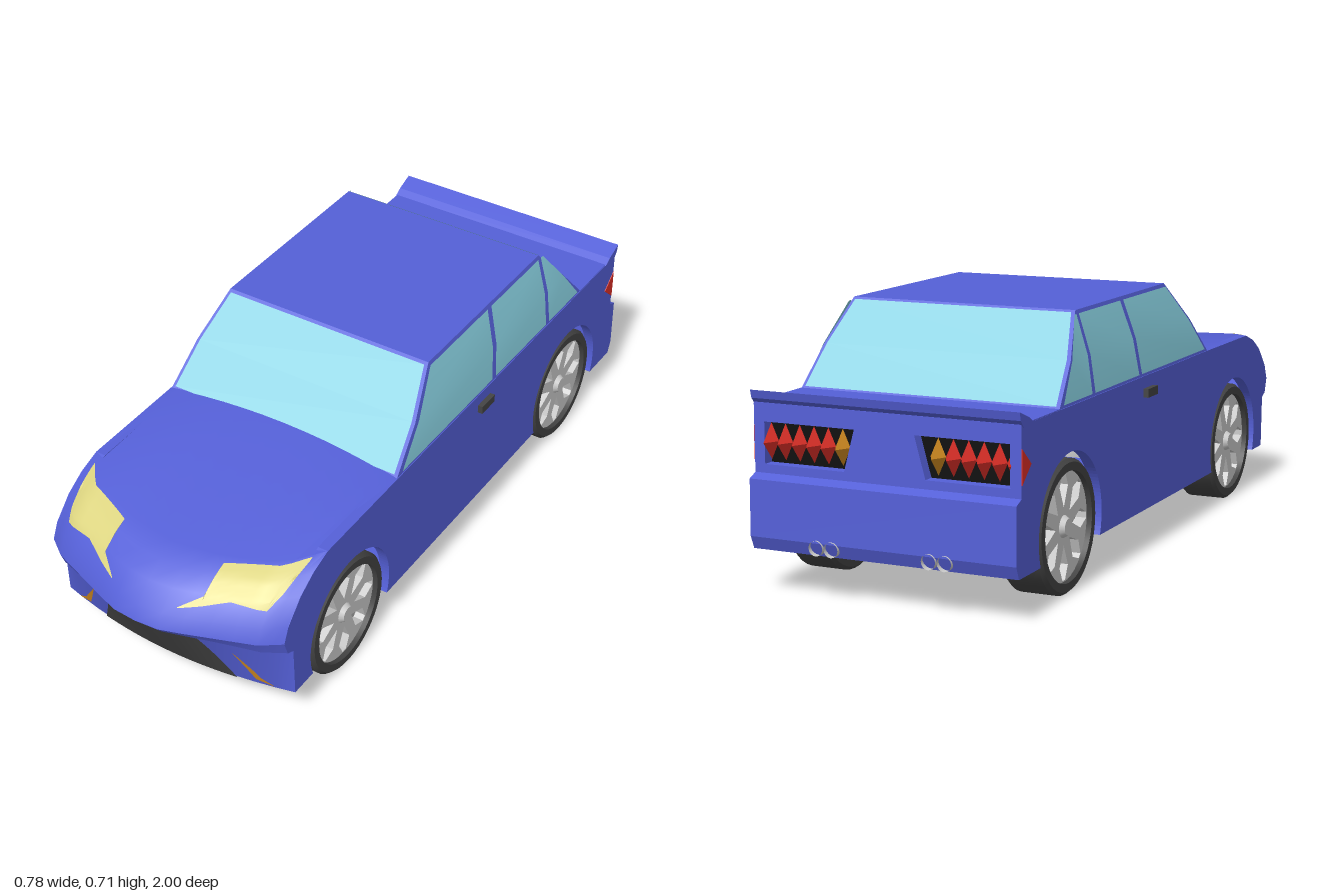
import * as THREE from 'three';
import { toCreasedNormals } from 'three/addons/utils/BufferGeometryUtils.js';

const mat = (color) => new THREE.MeshStandardMaterial({ color, side: THREE.DoubleSide });
const paint = mat(0x5560d8), glass = mat(0x88d0e0), dark = mat(0x444444), black = mat(0x0c0c0c);
const grey = mat(0xcccccc), lamp = mat(0xdcd480), amber = mat(0xd08a20), red = mat(0xe03028);
const lerp = THREE.MathUtils.lerp;

// Piecewise linear lookup in a list of [input, output] pairs
function table(pairs, x) {
  for (let i = 1; i < pairs.length; i++) {
    const [a, p] = pairs[i - 1], [b, q] = pairs[i];
    if (x <= b) return lerp(p, q, Math.max(0, (x - a) / (b - a)));
  }
  return pairs[pairs.length - 1][1];
}

// Surface whose points follow a rule of u and v, both 0..1
function surface(fn, nu, nv) {
  const g = new THREE.PlaneGeometry(1, 1, nu, nv), p = g.attributes.position;
  for (let i = 0; i < p.count; i++) p.setXYZ(i, ...fn(p.getX(i) + 0.5, p.getY(i) + 0.5));
  return toCreasedNormals(g, 0.5);
}

const polygon = (pts) => new THREE.Shape(pts.map(([a, b]) => new THREE.Vector2(a, b)));

// Extrude a (z, y) outline along x, from the given outer x inwards to -x
function extrudeX(shape, x, width) {
  const g = new THREE.ExtrudeGeometry(shape, { depth: width, bevelEnabled: false, curveSegments: 32 });
  return g.rotateY(-Math.PI / 2).translate(x, 0, 0);
}

// Cabin: half width, windscreen z and rear window z at a given height
const Y0 = 0.49, Y1 = 0.715;
const halfW = (y) => table([[Y0, 0.374], [0.6, 0.36], [Y1, 0.326]], y);
const screenZ = (y) => table([[Y0, 0.32], [Y1, 0.085]], y);
const backZ = (y) => table([[Y0, -0.74], [Y1, -0.535]], y);
const rowY = (v, a, b) => (v < 0.25 ? a : v < 0.75 ? 0.6 : b);

// Nose profile in (z, y) at distance x from the centre line
function noseProfile(x) {
  x = Math.abs(x);
  const q = (x / 0.375) ** 2;
  const n = table([[0, 1], [0.07, 0.995], [0.13, 0.975], [0.32, 0.905], [0.375, 0.865]], x);
  const h = table([[0, 0.82], [0.15, 0.8], [0.3, 0.75], [0.375, 0.66]], x);
  const hy = 0.465 + 0.025 * q, base = 0.512 - 0.02 * q, lo = 0.295 - 0.025 * q;
  return [
    [screenZ(base), base], [h, hy],
    [lerp(h, n, 0.33), lerp(hy, 0.325, 0.14)], [lerp(h, n, 0.62), lerp(hy, 0.325, 0.36)],
    [lerp(h, n, 0.9), lerp(hy, 0.325, 0.72)], [n, 0.325],
    [n - 0.015, lo + 0.012], [n - 0.04, lo], [0.87 - 0.05 * q, 0.115], [0.75, 0.115],
  ];
}
const noseZ = (x, y) => table(noseProfile(x).slice(1, 9).reverse().map(([z, h]) => [h, z]), y);

// Patch lying on the nose, described by columns [x, low y, high y]
function nosePatch(cols, lift) {
  const nu = (cols.length - 1) * 4;
  return surface((u, v) => {
    const s = u * (cols.length - 1), i = Math.min(Math.floor(s + 1e-6), cols.length - 2), t = s - i;
    const [x, a, b] = cols[i].map((c, k) => lerp(c, cols[i + 1][k], t));
    const y = lerp(a, b, v);
    return [x, y, noseZ(x, y) + lift];
  }, nu, 8);
}

function makeWheel() {
  const wheel = new THREE.Group();
  // Tyre ring, turned so its axle runs along x
  const ring = [[0.146, -0.06], [0.168, -0.06], [0.177, -0.05], [0.177, 0.05], [0.168, 0.06], [0.146, 0.06], [0.146, -0.06]];
  const tyre = new THREE.LatheGeometry(ring.map(([r, y]) => new THREE.Vector2(r, y)), 40);
  const t = new THREE.Mesh(toCreasedNormals(tyre.rotateZ(-Math.PI / 2), 0.6), dark);
  t.name = 'tyre';
  // Rim with eight pointed openings between the spokes
  const disc = new THREE.Shape().absarc(0, 0, 0.148, 0, Math.PI * 2);
  for (let i = 0; i < 8; i++) {
    const a = (i * Math.PI) / 4;
    const at = (r, w) => new THREE.Vector2(r * Math.cos(a) - w * Math.sin(a), r * Math.sin(a) + w * Math.cos(a));
    disc.holes.push(new THREE.Path([at(0.05, 0), at(0.105, 0.026), at(0.142, 0.008), at(0.142, -0.008), at(0.105, -0.026)]));
  }
  const rim = new THREE.Mesh(extrudeX(disc, 0.045, 0.03), grey);
  rim.name = 'rim';
  const hub = new THREE.Mesh(new THREE.CylinderGeometry(0.022, 0.034, 0.02, 16).rotateZ(-Math.PI / 2), grey);
  hub.name = 'hub';
  hub.position.x = 0.048;
  wheel.add(t, rim, hub);
  return wheel;
}

export function createModel() {
  const car = new THREE.Group();
  const add = (name, geo, m, x = 0, y = 0, z = 0) => {
    const mesh = new THREE.Mesh(geo, m);
    mesh.name = name;
    mesh.position.set(x, y, z);
    car.add(mesh);
    return mesh;
  };
  const box = (name, w, h, d, m, x, y, z) => add(name, new THREE.BoxGeometry(w, h, d), m, x, y, z);

  // Hood, nose and front bumper as one lofted skin
  const half = [0, 0.07, 0.13, 0.2, 0.26, 0.32, 0.35, 0.375];
  const xs = [...half.slice(1).reverse().map((x) => -x), ...half];
  add('hoodAndNose', surface((u, v) => {
    const x = xs[Math.round(u * (xs.length - 1))];
    const [z, y] = noseProfile(x)[Math.round((1 - v) * 9)];
    return [x, y, z];
  }, xs.length - 1, 9), paint);
  add('grille', surface((u, v) => {
    const y = lerp(0.118, 0.288, v), x = lerp(-1, 1, u) * lerp(0.218, 0.142, v);
    return [x, y, noseZ(x, y) + 0.005];
  }, 12, 4), dark);

  // Body sides with round wheel arches
  const side = polygon([
    ...noseProfile(0.375).slice(0, 9), [0.746, 0.115],
  ]);
  side.absarc(0.55, 0.178, 0.196, -0.327, Math.PI + 0.327, false);
  side.absarc(-0.67, 0.178, 0.196, -0.327, Math.PI + 0.327, false);
  for (const [z, y] of [[-0.98, 0.115], [-0.995, 0.15], [-0.993, 0.3], [-0.965, 0.312], [-0.965, 0.492]]) side.lineTo(z, y);
  for (const s of [1, -1]) add(s > 0 ? 'leftSide' : 'rightSide', extrudeX(side, s > 0 ? 0.376 : -0.346, 0.03), paint);
  box('floor', 0.74, 0.01, 0.82, paint, 0, 0.12, -0.06);

  // Trunk lid, spoiler lip and rear bumper
  box('trunkLid', 0.75, 0.012, 0.23, paint, 0, 0.488, -0.85);
  add('spoiler', extrudeX(polygon([[-0.9, 0.492], [-0.925, 0.507], [-0.978, 0.527], [-0.972, 0.505], [-0.955, 0.485]]), 0.378, 0.756), paint);
  add('rearBumper', extrudeX(polygon([[-0.94, 0.312], [-0.965, 0.312], [-0.993, 0.3], [-0.995, 0.15], [-0.98, 0.115], [-0.875, 0.115], [-0.875, 0.125], [-0.94, 0.13]]), 0.375, 0.75), paint);

  // Rear panel with openings for the tail lights
  const panel = polygon([[-0.375, 0.3], [0.375, 0.3], [0.375, 0.49], [-0.375, 0.49]]);
  for (const s of [1, -1]) {
    panel.holes.push(polygon([[s * 0.085, 0.445], [s * 0.36, 0.445], [s * 0.37, 0.39], [s * 0.36, 0.335], [s * 0.115, 0.335]]));
  }
  add('rearPanel', new THREE.ExtrudeGeometry(panel, { depth: 0.035, bevelEnabled: false }), paint, 0, 0, -0.965);

  // Cabin shell
  add('roof', surface((u, v) => [lerp(-1, 1, u) * halfW(Y1), Y1, lerp(backZ(Y1), screenZ(Y1), v)], 1, 1), paint);
  for (const [name, zAt, s] of [['windscreen', screenZ, 1], ['rearWindow', backZ, -1]]) {
    const pane = (a, b, inset, lift) => surface((u, v) => {
      const y = rowY(v, a, b);
      return [lerp(-1, 1, u) * (halfW(y) - inset), y + lift, zAt(y) + s * lift];
    }, 1, 2);
    add(name + 'Frame', pane(Y0, Y1, 0, 0), paint);
    add(name, pane(0.497, 0.708, 0.01, 0.002), glass);
  }

  // Side window spans as [bottom front, bottom rear, top front, top rear]
  const windows = {
    frontWindow: [0.292, -0.197, 0.083, -0.229],
    rearDoorWindow: [-0.216, -0.517, -0.25, -0.526],
    quarterWindow: [-0.536, -0.716, -0.541, -0.553],
  };
  for (const s of [1, -1]) {
    add('cabinSide', surface((u, v) => {
      const y = rowY(v, Y0, Y1);
      return [s * halfW(y), y, lerp(backZ(y), screenZ(y), u)];
    }, 1, 2), paint);
    for (const [name, [a, b, c, d]] of Object.entries(windows)) {
      add(name, surface((u, v) => {
        const y = rowY(v, 0.5, 0.706), t = (y - 0.5) / 0.206;
        return [s * (halfW(y) + 0.003), y, lerp(lerp(a, c, t), lerp(b, d, t), u)];
      }, 1, 2), glass);
    }

    // Headlight with a pointed inner tail, and fog lamp sliver
    const mirror = (cols) => cols.map(([x, a, b]) => [s * x, a, b]);
    add('headlight', nosePatch(mirror([[0.105, 0.384, 0.386], [0.159, 0.396, 0.417], [0.16, 0.396, 0.464],
      [0.228, 0.415, 0.471], [0.32, 0.408, 0.481], [0.338, 0.437, 0.484], [0.353, 0.482, 0.486]]), 0.006), lamp);
    add('fogLamp', nosePatch(mirror([[0.228, 0.236, 0.238], [0.275, 0.137, 0.172], [0.291, 0.133, 0.147], [0.322, 0.124, 0.126]]), 0.005), amber);

    // Tail light: dark recess, a row of spikes and a side marker
    box('tailLightRecess', 0.29, 0.13, 0.01, black, s * 0.225, 0.39, -0.928);
    for (let i = 0; i < 6; i++) {
      const spike = new THREE.ConeGeometry(0.03, 0.04, 4).toNonIndexed().rotateX(-Math.PI / 2).scale(0.72, 1.6, 1);
      spike.computeVertexNormals();
      add('tailLightSpike', spike, i ? red : amber, s * (0.135 + i * 0.042), 0.39, -0.953);
    }
    add('sideMarker', extrudeX(polygon([[-0.912, 0.39], [-0.964, 0.345], [-0.964, 0.435]]), s * 0.3765 + 0.0015, 0.003), red);

    // Door handle and twin exhaust
    box('doorHandle', 0.02, 0.024, 0.07, dark, s * 0.381, 0.446, -0.152);
    for (const dx of [-0.022, 0.022]) {
      const pipe = new THREE.CylinderGeometry(0.02, 0.02, 0.1, 16, 1, true).rotateX(Math.PI / 2);
      add('exhaustPipe', pipe, grey, s * 0.16 + dx, 0.138, -0.95);
    }

    // Wheels
    for (const [name, z] of [['frontWheel', 0.55], ['rearWheel', -0.67]]) {
      const w = makeWheel();
      w.name = name;
      w.position.set(s * 0.31, 0.177, z);
      if (s < 0) w.rotation.y = Math.PI;
      car.add(w);
    }
  }
  return car;
}
